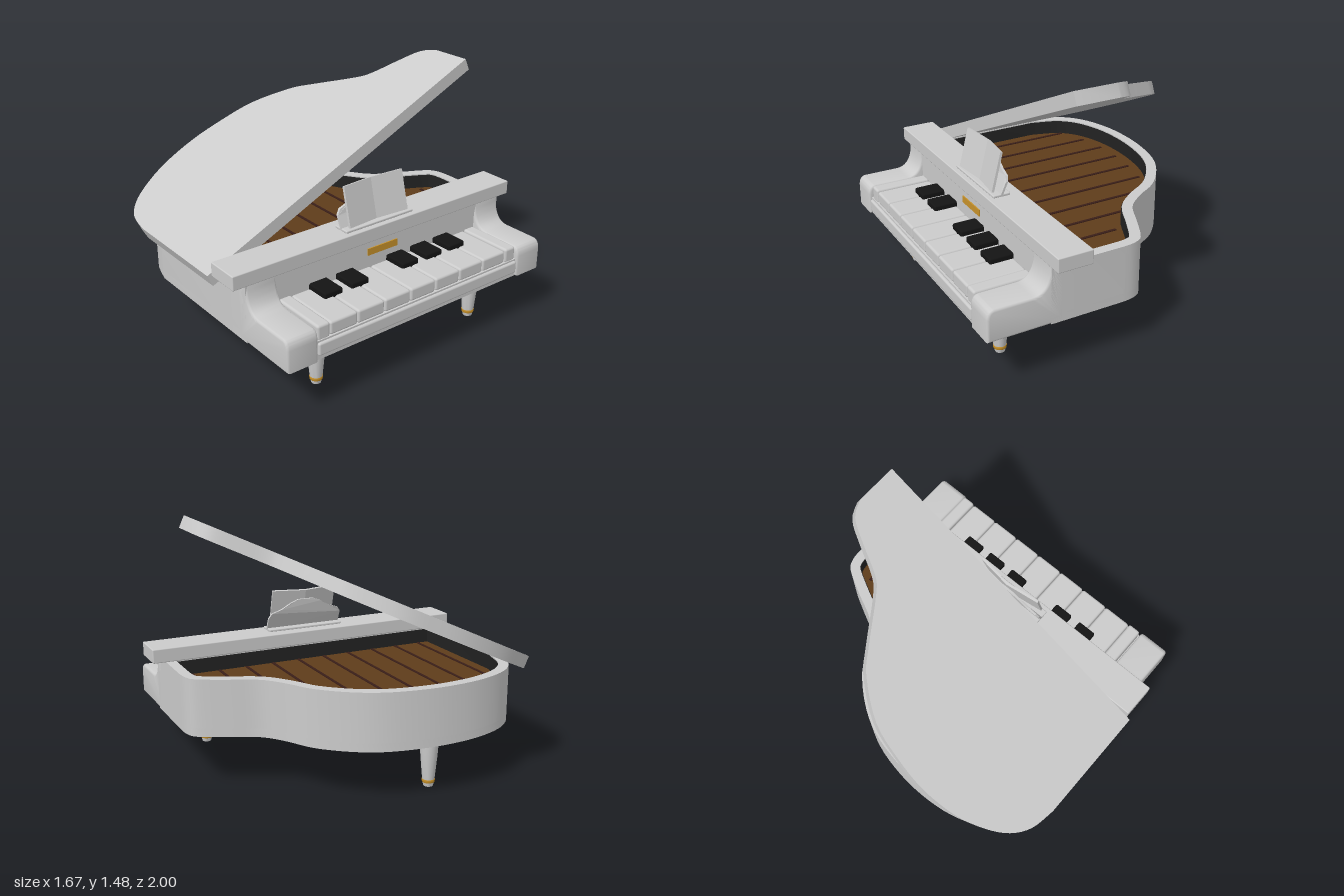
import * as THREE from 'three';
import { toCreasedNormals } from 'three/addons/utils/BufferGeometryUtils.js';
import { RoundedBoxGeometry } from 'three/addons/geometries/RoundedBoxGeometry.js';

const mat = (color) => new THREE.MeshStandardMaterial({ color });
const grey = mat(0xcccccc), black = mat(0x141414), lining = mat(0x222222);
const gold = mat(0xc8922a), wood = mat(0x5f3c1a), string = mat(0x3a1f18);
lining.side = THREE.DoubleSide;

const v2 = (pts) => pts.map(([x, y]) => new THREE.Vector2(x, y));

export function createModel() {
  const piano = new THREE.Group();
  piano.name = 'grandPiano';

  const add = (name, geometry, material = grey, parent = piano) => {
    const mesh = new THREE.Mesh(geometry, material);
    mesh.name = name;
    parent.add(mesh);
    return mesh;
  };
  // Box given by its min and max corners, optionally rounded
  const box = (name, [x0, x1], [y0, y1], [z0, z1], material = grey, r = 0) => {
    const size = [x1 - x0, y1 - y0, z1 - z0];
    const g = r ? new RoundedBoxGeometry(...size, 2, r) : new THREE.BoxGeometry(...size);
    return add(name, g.translate((x0 + x1) / 2, (y0 + y1) / 2, (z0 + z1) / 2), material);
  };
  const extrude = (shape, depth, bevel = 0) => toCreasedNormals(new THREE.ExtrudeGeometry(shape, {
    depth, curveSegments: 12, bevelEnabled: bevel > 0, bevelSize: bevel, bevelOffset: -bevel,
    bevelThickness: bevel, bevelSegments: 3,
  }), 0.7);
  // Plan shape (x, -z) raised from y0 to y1
  const raise = (shape, y0, y1) => extrude(shape, y1 - y0).rotateX(-Math.PI / 2).translate(0, y0, 0);

  // Curved case outline in plan (x, -z), running from the bent side round the tail
  const caseCurve = new THREE.SplineCurve(v2([
    [0.04, 0.92], [-0.03, 0.91], [-0.09, 0.87], [-0.17, 0.72], [-0.25, 0.56], [-0.37, 0.46],
    [-0.52, 0.37], [-0.655, 0.22], [-0.74, 0.06], [-0.785, -0.14], [-0.795, -0.34],
    [-0.77, -0.54], [-0.7, -0.72], [-0.58, -0.84], [-0.4, -0.9],
  ]));
  const outline = (inset, endX) => {
    const pts = [new THREE.Vector2(endX, 0.92 - inset)];
    for (let i = 0; i <= 56; i++) {
      const p = caseCurve.getPoint(i / 56), t = caseCurve.getTangent(i / 56);
      pts.push(new THREE.Vector2(p.x - t.y * inset, p.y + t.x * inset));
    }
    pts.push(new THREE.Vector2(endX, -0.9 + inset));
    return pts;
  };

  // Case: hollow rim over a closed bottom
  const rim = new THREE.Shape(outline(0, 0.475));
  rim.holes.push(new THREE.Path(outline(0.06, 0.3)));
  add('caseRim', raise(rim, 0.36, 0.642));
  add('caseBottom', raise(new THREE.Shape(outline(0, 0.475)), 0.31, 0.36));

  // Dark lining, soundboard and strings
  const liner = new THREE.Shape(outline(0.058, 0.302));
  liner.holes.push(new THREE.Path(outline(0.064, 0.296)));
  add('innerLining', raise(liner, 0.5, 0.635), lining);
  add('soundboard', raise(new THREE.Shape(outline(0.06, 0.3)), 0.5, 0.55), wood);
  for (let i = 0; i < 10; i++) {
    const z = -0.77 + i * 0.17;
    // each string stops where it meets the curved side
    let tail = 0.04;
    for (const p of outline(0.07, 0.3)) if (Math.abs(-p.y - z) < 0.06) tail = Math.min(tail, p.x + 0.05);
    box('string', [tail, 0.29], [0.55, 0.555], [z - 0.008, z + 0.008], string);
  }

  // Cheeks at both ends of the keyboard
  const cheek = new THREE.Shape();
  cheek.moveTo(0.4, 0.31);
  cheek.lineTo(0.835, 0.31);
  cheek.lineTo(0.835, 0.44);
  cheek.quadraticCurveTo(0.83, 0.495, 0.79, 0.495);
  cheek.lineTo(0.58, 0.495);
  cheek.quadraticCurveTo(0.485, 0.495, 0.475, 0.642);
  cheek.lineTo(0.4, 0.642);
  for (const [z0, z1] of [[-0.92, -0.73], [0.71, 0.9]])
    add('cheek', extrude(cheek, z1 - z0 - 0.03, 0.015).translate(0, 0, z0 + 0.015));

  // Keyboard bed, slip, end blocks and name plate
  box('keyBed', [0.46, 0.82], [0.31, 0.42], [-0.74, 0.72]);
  box('keySlip', [0.79, 0.835], [0.335, 0.41], [-0.73, 0.705], grey, 0.012);
  for (const z of [-0.69, 0.66]) box('keyBlock', [0.47, 0.815], [0.41, 0.5], [z - 0.04, z + 0.04], grey, 0.015);
  box('namePlate', [0.46, 0.482], [0.565, 0.606], [-0.115, 0.1], gold);

  // Seven white keys and five black keys
  for (let i = 0; i < 7; i++) {
    const z = -0.648 + i * 0.181;
    box('whiteKey', [0.47, 0.812], [0.415, 0.493], [z + 0.002, z + 0.179], grey, 0.014);
  }
  for (const z of [-0.455, -0.278, -0.1, 0.26, 0.44])
    box('blackKey', [0.46, 0.615], [0.48, 0.524], [z - 0.06, z + 0.06], black, 0.01);

  // Top beam behind the keys
  box('topBeam', [0.28, 0.485], [0.645, 0.728], [-1, 0.978], grey, 0.006);

  // Lid: outline in its own plane, hinged on the straight side and propped open
  const lidCurve = new THREE.SplineCurve(v2([
    [0.03, 1.968], [-0.06, 1.918], [-0.13, 1.786], [-0.2, 1.632], [-0.27, 1.555], [-0.5, 1.389],
    [-0.62, 1.29], [-0.76, 1.08], [-0.815, 0.866], [-0.84, 0.65], [-0.82, 0.419], [-0.76, 0.24],
    [-0.68, 0.11], [-0.57, 0.03], [-0.42, 0],
  ]));
  const lidShape = new THREE.Shape([
    new THREE.Vector2(0.28, 1.968), ...lidCurve.getPoints(56), new THREE.Vector2(0.28, 0),
  ]);
  const lid = add('lid', extrude(lidShape, 0.075));
  lid.rotation.x = THREE.MathUtils.degToRad(-65.1);
  lid.position.set(0, 0.585, 0.97);

  // Music desk: arched back curving away from the player, with a ledge
  const half = [[0.24, 0], [0.24, 0.08], [0.22, 0.11], [0.16, 0.13], [0.1, 0.165], [0.05, 0.185]];
  const deskShape = new THREE.Shape(v2([...half, ...half.map(([x, y]) => [-x, y]).reverse()]));
  const desk = new THREE.ExtrudeGeometry(deskShape, { depth: 0.014, bevelEnabled: false })
    .rotateY(Math.PI / 2);
  const p = desk.attributes.position;
  for (let i = 0; i < p.count; i++) {
    const k = 1 - p.getY(i) / 0.19;
    p.setX(i, p.getX(i) + 0.345 + 0.055 * k * k);
  }
  desk.computeVertexNormals();
  add('musicDesk', desk.translate(0, 0.728, -0.01));
  box('deskLedge', [0.35, 0.455], [0.725, 0.742], [-0.25, 0.23], grey, 0.006);

  // Open music book leaning on the desk
  const book = new THREE.Group();
  book.name = 'musicBook';
  book.position.set(0.415, 0.74, -0.008);
  book.rotation.z = 0.25;
  piano.add(book);
  for (const s of [-1, 1]) {
    const page = add('page', new THREE.BoxGeometry(0.014, 0.235, 0.21).translate(0, 0.1175, s * 0.104), grey, book);
    page.rotation.y = s * 0.13;
  }

  // Three turned legs with gold bands
  const legProfile = v2([[0, 0], [0.027, 0], [0.031, 0.015], [0.036, 0.05], [0.048, 0.18], [0.053, 0.26], [0.055, 0.32]]);
  const bandProfile = v2([[0.031, 0.022], [0.036, 0.024], [0.038, 0.04], [0.034, 0.043]]);
  for (const [x, z] of [[-0.61, 0.3], [0.605, 0.555], [0.605, -0.59]]) {
    const leg = new THREE.Group();
    leg.name = 'leg';
    leg.position.set(x, 0, z);
    piano.add(leg);
    add('legPost', toCreasedNormals(new THREE.LatheGeometry(legProfile, 20), 0.7), grey, leg);
    add('legBand', new THREE.LatheGeometry(bandProfile, 20), gold, leg);
  }

  return piano;
}
